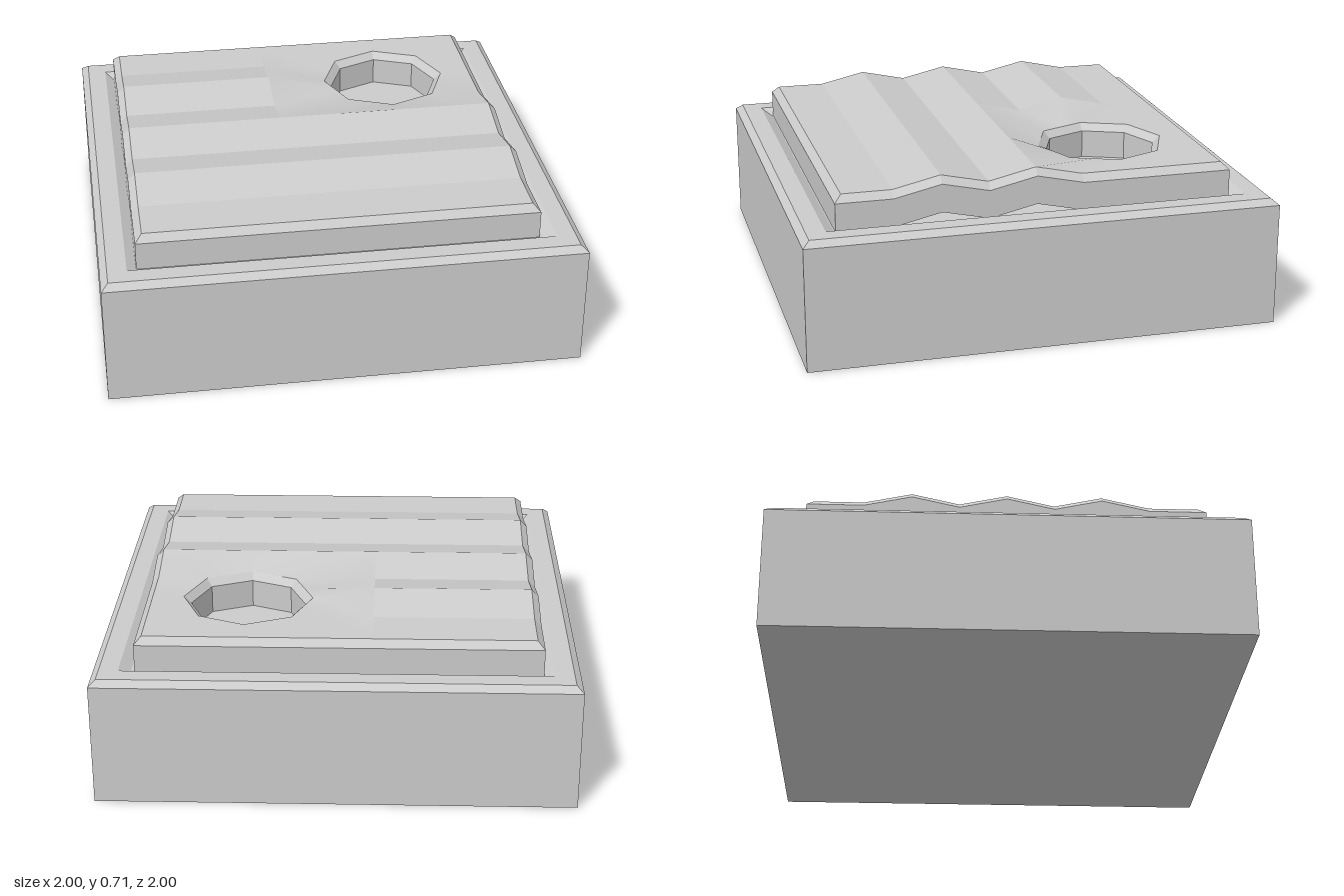
import * as THREE from 'three';
import { mergeVertices } from 'three/addons/utils/BufferGeometryUtils.js';

const FLAT = 0.67, PEAK = 0.715;          // heights of the plate's valleys and ridges
const X0 = -0.82, X1 = 0.8, XM = -0.15, ZE = 0.81;
const ROWS = [-ZE, -0.6, -0.4, -0.2, 0, 0.2, 0.4, 0.6, ZE];
const HOLE = { x: 0.39, z: -0.41 };
// level 0 = top, 1 = foot of the bevel, 2 = underside
const DROP = [0, 0.03, 0.15], OUT = [0, 0.03, 0.03], RADIUS = [0.277, 0.245, 0.245];

// Point on the rippled plate; edges move outward below the bevel
function platePoint([x, z], level) {
  const ridge = [-0.4, 0, 0.4].includes(z) && !(z === -0.4 && x > XM);
  const o = OUT[level];
  const px = x === X0 ? x - o : x === X1 ? x + o : x;
  const pz = Math.abs(z) === ZE ? z + Math.sign(z) * o : z;
  return [px, (ridge ? PEAK : FLAT) - DROP[level], pz];
}

// Octagon corners and edge midpoints, 16 points round the hole
function holePoint(i, level) {
  const a = (i % 16) * Math.PI / 8;
  const r = RADIUS[level] * (i % 2 ? Math.cos(Math.PI / 8) : 1);
  return [HOLE.x + r * Math.cos(a), FLAT - DROP[level], HOLE.z + r * Math.sin(a)];
}

function quad(out, a, b, c, d, flip = false) {
  const p = flip ? [d, c, b, a] : [a, b, c, d];
  for (const i of [0, 1, 2, 0, 2, 3]) out.push(...p[i]);
}

function geometryFrom(positions) {
  const g = new THREE.BufferGeometry();
  g.setAttribute('position', new THREE.Float32BufferAttribute(positions, 3));
  g.computeVertexNormals();
  return g;
}

// Border of the smooth area around the hole
const BORDER = [
  [X1, -0.4], [X1, -0.2], [X1, 0], [0.6, 0], [0.38, 0], [0.1, 0], [XM, 0], [XM, -0.2],
  [XM, -0.4], [XM, -0.6], [XM, -ZE], [0.1, -ZE], [0.38, -ZE], [0.6, -ZE], [X1, -ZE], [X1, -0.6],
];

// Sheet between the hole and its border
function holeSheet(out, level) {
  for (let i = 0; i < 16; i++) {
    quad(out, holePoint(i, level), holePoint(i + 1, level),
      platePoint(BORDER[(i + 1) % 16], level), platePoint(BORDER[i], level), level > 0);
  }
}

// Straight ripples: full width in front, left part only beside the hole
function rippleSheet(out, level) {
  for (let r = 0; r < ROWS.length - 1; r++) {
    const a = ROWS[r], b = ROWS[r + 1];
    const spans = a >= 0 ? [[X0, XM], [XM, X1]] : [[X0, XM]];
    for (const [l, m] of spans) {
      quad(out, platePoint([l, a], level), platePoint([l, b], level),
        platePoint([m, b], level), platePoint([m, a], level), level > 0);
    }
  }
}

// Bevel and side wall round the outside of the plate
function plateSides(out) {
  const loop = [
    ...ROWS.map((z) => [X1, z]), [XM, ZE],
    ...[...ROWS].reverse().map((z) => [X0, z]),
    [XM, -ZE], [0.1, -ZE], [0.38, -ZE], [0.6, -ZE],
  ];
  for (let level = 0; level < 2; level++) {
    loop.forEach((p, i) => {
      const q = loop[(i + 1) % loop.length];
      quad(out, platePoint(p, level), platePoint(q, level),
        platePoint(q, level + 1), platePoint(p, level + 1));
    });
  }
}

// Bevel and wall inside the hole
function holeSides(out) {
  for (let level = 0; level < 2; level++) {
    for (let i = 0; i < 16; i++) {
      quad(out, holePoint(i, level), holePoint(i + 1, level),
        holePoint(i + 1, level + 1), holePoint(i, level + 1), true);
    }
  }
}

export function createModel() {
  const model = new THREE.Group();
  model.name = 'rippledTile';
  const flat = new THREE.MeshStandardMaterial({ color: 0xcccccc, flatShading: true });
  const smooth = new THREE.MeshStandardMaterial({ color: 0xcccccc });
  const add = (name, geometry, material = flat) => {
    const mesh = new THREE.Mesh(geometry, material);
    mesh.name = name;
    model.add(mesh);
  };

  // Square base with a bevelled rim and a shallow sunken floor
  const profile = [[0, 0], [1, 0], [1, 0.525], [0.97, 0.55], [0.89, 0.55], [0.845, 0.52], [0, 0.52]]
    .map(([r, y]) => new THREE.Vector2(r * Math.SQRT2, y));
  add('base', new THREE.LatheGeometry(profile, 4, Math.PI / 4));

  // Rippled plate resting in the base
  const ripples = [];
  rippleSheet(ripples, 0);
  add('plateRipples', geometryFrom(ripples));

  const surround = [];
  holeSheet(surround, 0);
  const surroundGeometry = mergeVertices(geometryFrom(surround).deleteAttribute('normal'));
  surroundGeometry.computeVertexNormals();
  add('holeSurround', surroundGeometry, smooth);

  const sides = [];
  plateSides(sides);
  add('plateSides', geometryFrom(sides));

  const well = [];
  holeSides(well);
  add('holeWall', geometryFrom(well));

  const under = [];
  rippleSheet(under, 2);
  holeSheet(under, 2);
  add('plateUnderside', geometryFrom(under));

  return model;
}
